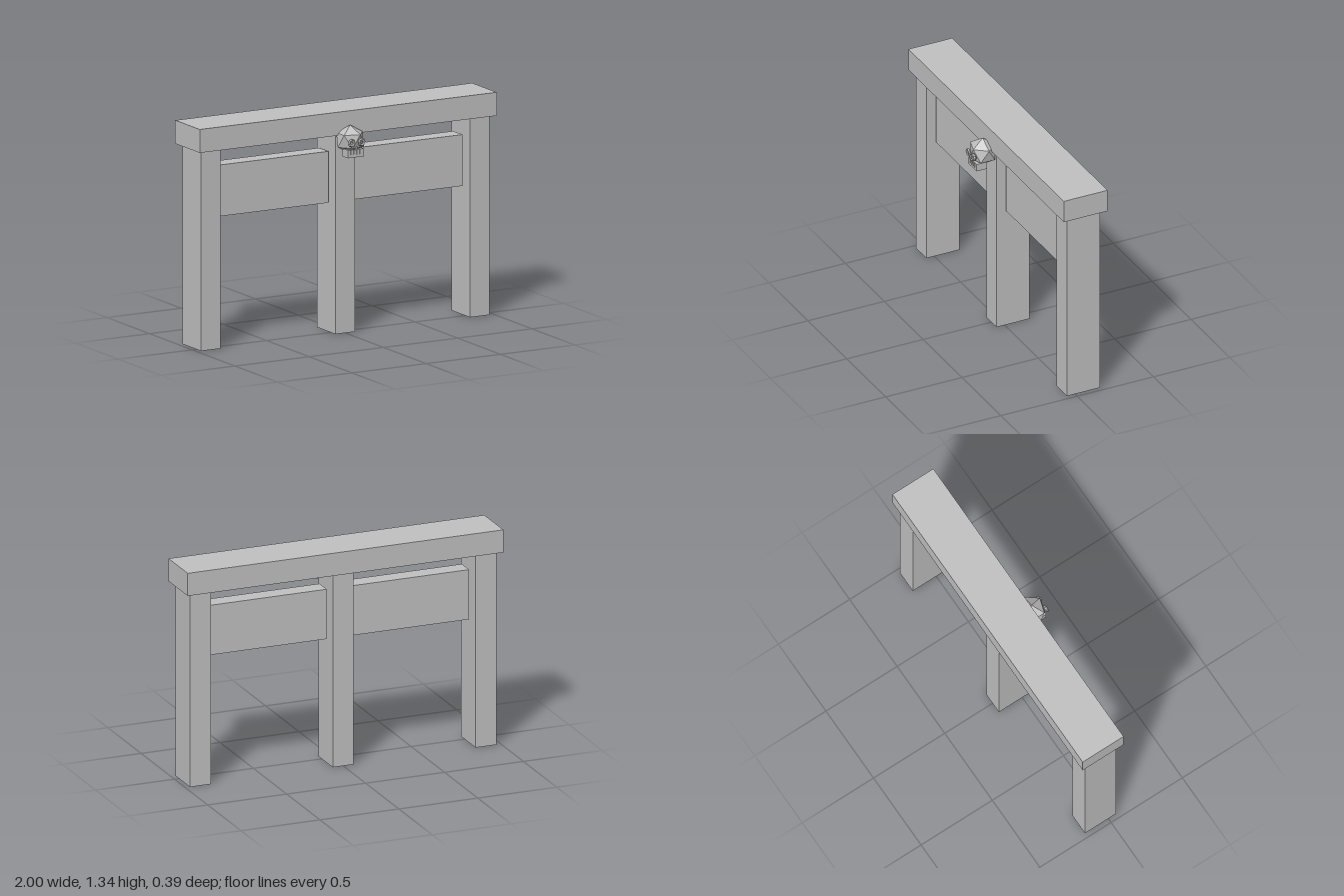
import * as THREE from 'three';
import { ConvexGeometry } from 'three/addons/geometries/ConvexGeometry.js';

const stone = new THREE.MeshStandardMaterial({ color: 0xc0c0c0 });
stone.name = 'stone grey';
stone.flatShading = true;

export function createModel() {
  const model = new THREE.Group();
  model.name = 'gateway';

  const add = (parent, name, geometry, x, y, z) => {
    const mesh = new THREE.Mesh(geometry, stone);
    mesh.name = name;
    mesh.position.set(x, y, z);
    parent.add(mesh);
    return mesh;
  };
  const box = (parent, name, w, h, d, x, y, z) =>
    add(parent, name, new THREE.BoxGeometry(w, h, d), x, y, z);

  // Frame: lintel, three posts and two hanging panels share one depth centre
  const zc = -0.056;
  box(model, 'lintel', 2, 0.14, 0.287, 0, 1.265, zc);
  for (const [name, x] of [['rightPost', -0.905], ['middlePost', 0], ['leftPost', 0.905]]) {
    box(model, name, 0.132, 1.195, 0.216, x, 0.5975, zc);
  }
  for (const side of [-1, 1]) {
    box(model, side < 0 ? 'rightPanel' : 'leftPanel', 0.738, 0.307, 0.109, side * 0.451, 0.9315, zc);
  }

  // Skull ornament
  const skull = new THREE.Group();
  skull.name = 'skull';
  model.add(skull);

  // Cranium: twenty-sided dome standing on its pole
  const points = [new THREE.Vector3(0, 0.087, 0), new THREE.Vector3(0, -0.087, 0)];
  for (let i = 0; i < 10; i++) {
    const a = (i * Math.PI) / 5;
    const y = i % 2 ? -0.039 : 0.039;
    points.push(new THREE.Vector3(Math.cos(a) * 0.083, y, Math.sin(a) * 0.078));
  }
  add(skull, 'cranium', new ConvexGeometry(points), 0, 1.169, 0.11);

  // Eye sockets
  for (const side of [-1, 1]) {
    add(skull, side < 0 ? 'rightEyeSocket' : 'leftEyeSocket',
      new THREE.TorusGeometry(0.016, 0.009, 5, 8), side * 0.034, 1.164, 0.186);
  }

  // Nose, jaw and teeth
  add(skull, 'nose', new THREE.ConeGeometry(0.009, 0.018, 4), 0, 1.135, 0.183);
  box(skull, 'jaw', 0.106, 0.047, 0.067, 0, 1.098, 0.1435);
  for (let i = 0; i < 4; i++) {
    box(skull, 'tooth', 0.01, 0.026, 0.006, (i - 1.5) * 0.02, 1.105, 0.177);
  }
  return model;
}
